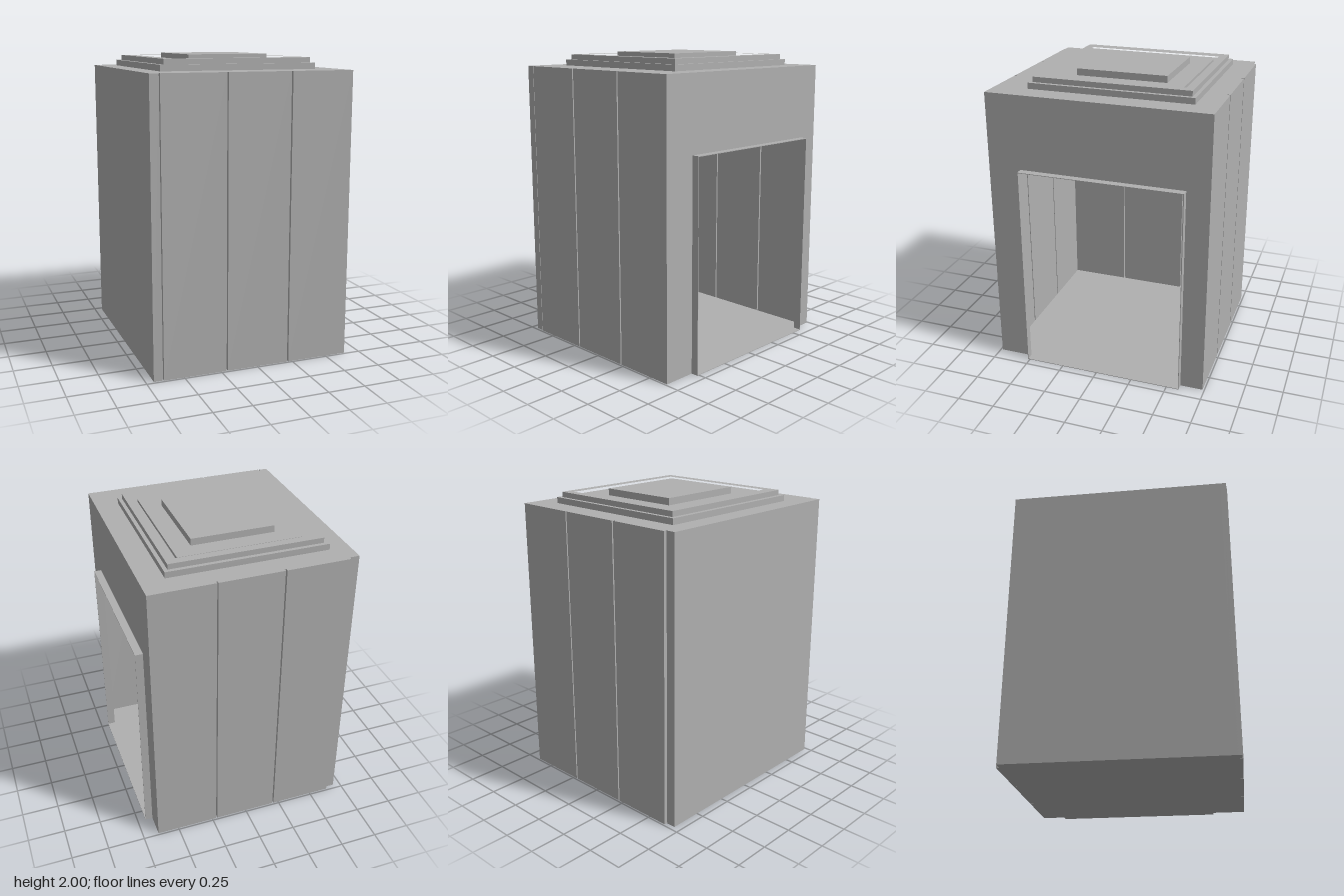
import * as THREE from 'three';

export function createModel() {
  const model = new THREE.Group();
  const grey = new THREE.MeshStandardMaterial({ color: 0xb0b0b0 });
  grey.name = 'plain grey';

  // box given by its limits on each axis
  function box(name, x0, x1, y0, y1, z0, z1) {
    const mesh = new THREE.Mesh(new THREE.BoxGeometry(x1 - x0, y1 - y0, z1 - z0), grey);
    mesh.position.set((x0 + x1) / 2, (y0 + y1) / 2, (z0 + z1) / 2);
    mesh.name = name;
    model.add(mesh);
  }

  // flat rectangular ring; rectangles are [x0, x1, z0, z1]
  function ring(name, outer, inner, y0, y1) {
    const corners = ([x0, x1, z0, z1]) => [[x0, -z0], [x1, -z0], [x1, -z1], [x0, -z1]]
      .map(([x, y]) => new THREE.Vector2(x, y));
    const shape = new THREE.Shape(corners(outer));
    shape.holes.push(new THREE.Path(corners(inner)));
    const geo = new THREE.ExtrudeGeometry(shape, { depth: y1 - y0, bevelEnabled: false });
    geo.rotateX(-Math.PI / 2).translate(0, y0, 0);
    const mesh = new THREE.Mesh(geo, grey);
    mesh.name = name;
    model.add(mesh);
  }

  const H = 1.905, L = -0.7, R = 0.645, Z = 0.7375, gap = 0.005;

  // front and back walls: three panels and a corner strip, grooved on both faces
  const xCuts = [R + gap, 0.22, -0.21, -0.64];
  for (const s of [1, -1]) {
    const wall = (name, x0, x1, a, b) =>
      box(name, x0, x1, 0, H, Math.min(s * a, s * b), Math.max(s * a, s * b));
    wall('wallCore', L, R, 0.695, 0.715);
    for (let i = 0; i < 3; i++) {
      const x0 = xCuts[i + 1] + gap, x1 = xCuts[i] - gap;
      wall('outerWallPanel', x0, x1, 0.715, Z);
      wall('innerWallPanel', x0, x1, 0.68, 0.695);
    }
    wall('cornerStrip', L, -0.645, 0.715, s > 0 ? 0.733 : 0.717);
  }

  // closed end wall, smooth outside and panelled inside
  box('endWall', L, -0.66, 0, H, -0.715, 0.715);
  const zCuts = [0.7, 0.255, -0.23, -0.7];
  for (let i = 0; i < 3; i++)
    box('endWallPanel', -0.66, -0.64, 0, H, zCuts[i + 1] + gap, zCuts[i] - gap);

  // doorway wall: thin sheet around the opening
  const d0 = -0.585, d1 = 0.515, doorH = 1.41, t = 0.004;
  box('doorWallSide', R - t, R, 0, H, d1, Z);
  box('doorWallSide', R - t, R, 0, H, -Z, d0);
  box('doorWallTop', R - t, R, doorH, H, d0, d1);

  // projecting door surround and floor
  box('doorJamb', R, 0.695, 0, doorH, d1 - t, d1);
  box('doorJamb', R, 0.695, 0, doorH, d0, d0 + t);
  box('doorHead', R, 0.695, doorH - t, doorH, d0, d1);
  box('floor', L, R, 0, t, -Z + 0.02, Z - 0.02);
  box('threshold', R, 0.695, 0, t, d0, d1);

  // roof with stepped skylight
  const well = [-0.455, 0.405, -0.505, 0.425];
  const curb = [-0.425, 0.38, -0.475, 0.4];
  const lip = [-0.38, 0.33, -0.43, 0.355];
  ring('roof', [L, R, -Z + 0.02, Z - 0.02], well, H - t, H);
  ring('lowerRoofStep', [-0.565, 0.49, -0.585, 0.51], well, H, 1.945);
  ring('upperRoofStep', [-0.535, 0.465, -0.56, 0.485], well, 1.945, 1.98);
  ring('skylightLedge', well, lip, 1.935, 1.945);
  ring('skylightCurb', curb, lip, 1.945, 1.965);
  box('skylightPanel', lip[0], lip[1], 1.945, 1.955, lip[2], lip[3]);
  box('skylightCap', -0.3, 0.25, 1.955, 2, -0.34, 0.27);

  return model;
}
